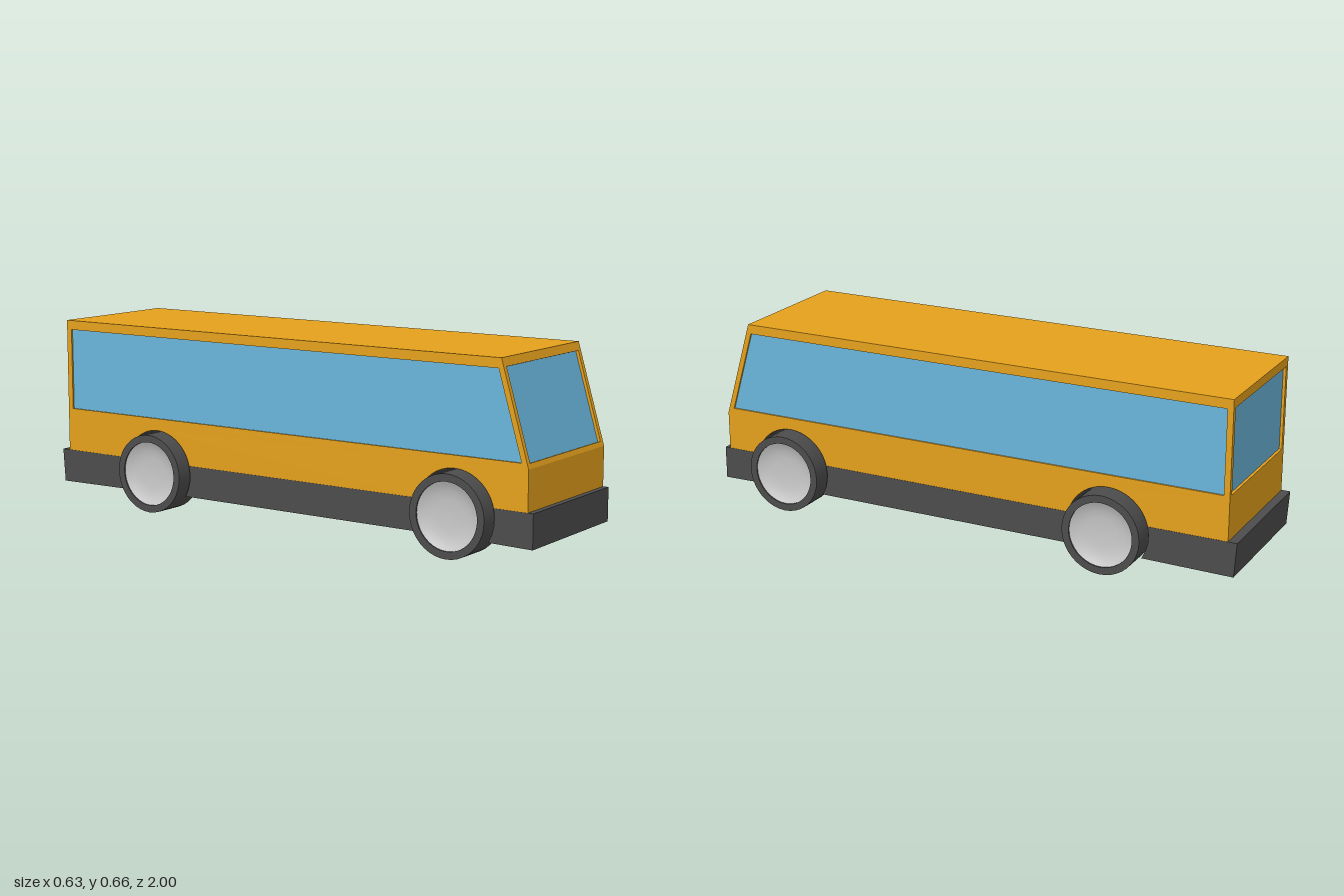
import * as THREE from 'three';
import { toCreasedNormals } from 'three/addons/utils/BufferGeometryUtils.js';

const mat = (name, color, side = THREE.FrontSide) => {
  const m = new THREE.MeshStandardMaterial({ color, side });
  m.name = name;
  return m;
};

const AXLES = [0.71, -0.54];
const AXLE_Y = 0.142, ARCH_R = 0.15, WHEEL_R = 0.141;
const HALF = 0.26, SIDE = 0.006, PANEL = 0.01;
const SKIRT_TOP = 0.178, SILL = 0.317, ROOF = 0.664, REAR = -0.968;
const SLOPE = 0.3, TILT = Math.atan(SLOPE);
const frontZ = (y) => 0.98 - (y - SILL) * SLOPE;

const poly = (pts) => new THREE.Shape(pts.map(([a, b]) => new THREE.Vector2(a, b)));

// Side profile (z, y) extruded across x from x0 to x1
function across(shape, x0, x1) {
  const g = new THREE.ExtrudeGeometry(shape, { depth: x1 - x0, bevelEnabled: false, curveSegments: 20 });
  return g.rotateY(-Math.PI / 2).translate(x1, 0, 0);
}

// Lower body profile with wheel arches cut out of its bottom edge
function lowerBodyProfile() {
  const s = new THREE.Shape();
  const a = Math.asin((SKIRT_TOP - AXLE_Y) / ARCH_R);
  s.moveTo(0.98, SKIRT_TOP).lineTo(0.98, SILL).lineTo(REAR, SILL).lineTo(REAR, SKIRT_TOP);
  [...AXLES].reverse().forEach((z) => {
    s.lineTo(z - ARCH_R * Math.cos(a), SKIRT_TOP);
    s.absarc(z, AXLE_Y, ARCH_R, Math.PI - a, a, true);
  });
  s.closePath();
  return s;
}

// Skirt edge following the arch, from the bottom up; dir +1 is ahead of the axle
function archEdge(z, dir, bottom) {
  return [0, 0.25, 0.5, 0.75, 1].map((t) => {
    const y = bottom + (SKIRT_TOP - bottom) * t;
    return [z + dir * Math.sqrt(ARCH_R ** 2 - (y - AXLE_Y) ** 2), y];
  });
}

// Flat end panel with a window opening, front face on z = 0
function endFrame(height, holeBottom, holeTop) {
  const w = HALF - SIDE, h = 0.242;
  const s = poly([[-w, 0], [w, 0], [w, height], [-w, height]]);
  s.holes.push(poly([[-h, holeBottom], [-h, holeTop], [h, holeTop], [h, holeBottom]]));
  return new THREE.ExtrudeGeometry(s, { depth: PANEL, bevelEnabled: false }).translate(0, 0, -PANEL);
}

export function createModel() {
  const model = new THREE.Group();
  model.name = 'bus';
  const paint = mat('yellow paint', 0xe5a11c);
  const glass = mat('blue glass', 0x69b4da);
  const dark = mat('dark grey', 0x4c4c4c);
  const lining = mat('arch lining grey', 0x484848, THREE.DoubleSide);
  const metal = mat('hub metal', 0xc8c8c8);

  const body = new THREE.Group();
  body.name = 'body';
  body.position.x = -0.004;
  model.add(body);
  const add = (parent, name, geo, material) => {
    const m = new THREE.Mesh(geo, material);
    m.name = name;
    parent.add(m);
    return m;
  };

  // Lower body
  add(body, 'lowerBody', across(lowerBodyProfile(), -HALF, HALF), paint);

  // Dark skirt in three pieces between the arches
  const [zf, zr] = AXLES;
  const skirts = {
    frontSkirt: [[1, 0.06], [1, SKIRT_TOP], ...archEdge(zf, 1, 0.063).reverse()],
    middleSkirt: [...archEdge(zf, -1, 0.065), ...archEdge(zr, 1, 0.065).reverse()],
    rearSkirt: [...archEdge(zr, -1, 0.061), [-1, SKIRT_TOP], [-0.992, 0.057]],
  };
  for (const [name, pts] of Object.entries(skirts)) {
    add(body, name, across(poly(pts), -HALF - 0.001, HALF + 0.001), dark);
  }

  // Glass cabin, set just behind the window openings
  const inset = PANEL / Math.cos(TILT);
  const top = ROOF - PANEL;
  add(body, 'windowGlass', across(poly([
    [REAR + PANEL, SILL], [frontZ(SILL) - inset, SILL],
    [frontZ(top) - inset, top], [REAR + PANEL, top],
  ]), -HALF + SIDE, HALF - SIDE), glass);

  // Side panels with one long opening each
  for (const side of [1, -1]) {
    const s = poly([[REAR, SILL], [frontZ(SILL), SILL], [frontZ(ROOF), ROOF], [REAR, ROOF]]);
    const lo = 0.335, hi = 0.63;
    s.holes.push(poly([[-0.947, lo], [-0.947, hi], [frontZ(hi) - 0.02, hi], [frontZ(lo) - 0.02, lo]]));
    const x0 = side > 0 ? HALF - SIDE : -HALF;
    add(body, side > 0 ? 'leftWindowFrame' : 'rightWindowFrame', across(s, x0, x0 + SIDE), paint);
  }

  // Windscreen frame, rear frame and roof
  const slant = (ROOF - SILL) / Math.cos(TILT);
  const screen = add(body, 'windscreenFrame', endFrame(slant, 0.018, 0.332), paint);
  screen.position.set(0, SILL, frontZ(SILL));
  screen.rotation.x = -TILT;
  const rear = add(body, 'rearWindowFrame', endFrame(ROOF - SILL, 0.018, 0.315), paint);
  rear.position.set(0, SILL, REAR);
  rear.rotation.y = Math.PI;
  add(body, 'roof', across(poly([
    [REAR, top], [frontZ(top), top], [frontZ(ROOF), ROOF], [REAR, ROOF],
  ]), -HALF + SIDE, HALF - SIDE), paint);

  // Wheel: tyre from inner disc to outer rim, then a softly dished hub
  const lathe = (pts) => toCreasedNormals(new THREE.LatheGeometry(
    pts.map(([r, y]) => new THREE.Vector2(r, y)), 40).rotateZ(-Math.PI / 2), 0.6);
  const tyreGeo = lathe([[0, 0.2], [WHEEL_R, 0.2], [WHEEL_R, 0.315], [0.115, 0.315], [0.115, 0.305]]);
  const hubGeo = lathe([[0.115, 0.31], [0.1, 0.302], [0.08, 0.295], [0.055, 0.291], [0, 0.29]]);

  AXLES.forEach((z, i) => {
    const end = i === 0 ? 'front' : 'rear';
    // Lining of the arch tunnel above the wheels
    const arch = new THREE.CylinderGeometry(ARCH_R - 0.001, ARCH_R - 0.001, HALF * 2, 32, 1, true, -Math.PI / 2 + Math.PI / 2, Math.PI);
    add(body, end + 'ArchLining', arch.rotateZ(Math.PI / 2), lining).position.set(0, AXLE_Y, z);
    for (const side of [1, -1]) {
      const wheel = new THREE.Group();
      wheel.name = end + (side > 0 ? 'LeftWheel' : 'RightWheel');
      wheel.position.set(0, WHEEL_R, z);
      if (side < 0) wheel.rotation.y = Math.PI;
      add(wheel, 'tyre', tyreGeo, dark);
      add(wheel, 'hub', hubGeo, metal);
      model.add(wheel);
    }
  });

  return model;
}
